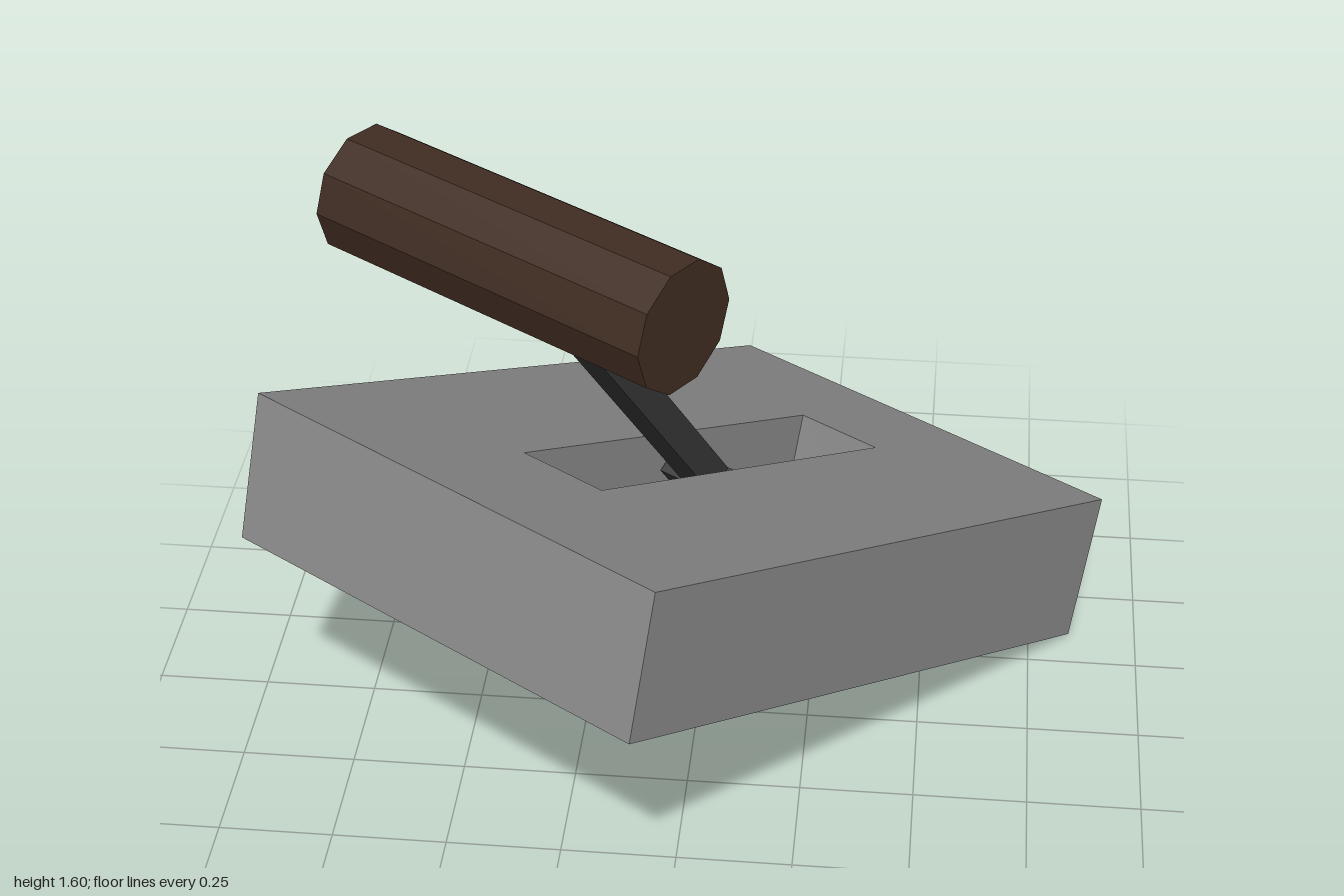
import * as THREE from 'three';

const stone = new THREE.MeshStandardMaterial({ color: 0x8a8a8a });
stone.name = 'grey stone';
const iron = new THREE.MeshStandardMaterial({ color: 0x363636 });
iron.name = 'dark iron';
const wood = new THREE.MeshStandardMaterial({ color: 0x402d22 });
wood.name = 'dark wood';

const V = (x, y, z) => new THREE.Vector3(x, y, z);

// Corners of the tilted base, in the order (u,v) = (0,0) (1,0) (1,1) (0,1)
const BOTTOM = [V(-0.9, 0.742, 0.43), V(-0.035, 0.737, 0.995), V(0.845, 0, -0.355), V(-0.02, 0.008, -0.92)];
const TOP = [V(-0.855, 1.055, 0.36), V(0.01, 1.05, 0.93), V(0.9, 0.342, -0.43), V(0.035, 0.347, -1)];

// Point inside the base from unit coordinates
function inBase(u, v, h) {
  const level = (c) => c[0].clone().lerp(c[1], u).lerp(c[3].clone().lerp(c[2], u), v);
  return level(BOTTOM).lerp(level(TOP), h);
}

// Bend a unit-space geometry into the skewed base
function fitToBase(geometry) {
  const g = geometry.index ? geometry.toNonIndexed() : geometry;
  const p = g.attributes.position;
  for (let i = 0; i < p.count; i++) {
    const q = inBase(p.getX(i), p.getY(i), p.getZ(i));
    p.setXYZ(i, q.x, q.y, q.z);
  }
  g.computeVertexNormals();
  return g;
}

function rectangle(PathType, u0, u1, v0, v1) {
  return new PathType([[u0, v0], [u1, v0], [u1, v1], [u0, v1]].map(([u, v]) => new THREE.Vector2(u, v)));
}

function addMesh(parent, name, geometry, material) {
  const mesh = new THREE.Mesh(geometry, material);
  mesh.name = name;
  parent.add(mesh);
  return mesh;
}

export function createModel() {
  const model = new THREE.Group();
  model.name = 'lever switch';

  // Base: solid lower half and slotted upper half
  const base = new THREE.Group();
  base.name = 'base';
  model.add(base);
  const slotFloor = 0.5;
  addMesh(base, 'lowerBase', fitToBase(new THREE.BoxGeometry(1, 1, slotFloor).translate(0.5, 0.5, slotFloor / 2)), stone);
  const outline = rectangle(THREE.Shape, 0, 1, 0, 1);
  outline.holes.push(rectangle(THREE.Path, 0.4, 0.6, 0.205, 0.795));
  const slotted = new THREE.ExtrudeGeometry(outline, { depth: 1 - slotFloor, bevelEnabled: false });
  addMesh(base, 'slottedTop', fitToBase(slotted.translate(0, 0, slotFloor)), stone);

  // Lever: local x across the slot, local y along the stem
  const pivot = V(0.024, 0.616, -0.0375);
  const grip = V(-0.298, 1.468, 0.456);
  const along = grip.clone().sub(pivot);
  const length = along.length();
  along.normalize();
  const across = V(0.835, 0, 0.55).normalize();
  const thick = across.clone().cross(along).normalize();
  across.crossVectors(along, thick);
  const lever = new THREE.Group();
  lever.name = 'lever';
  lever.quaternion.setFromRotationMatrix(new THREE.Matrix4().makeBasis(across, along, thick));
  lever.position.copy(pivot);
  model.add(lever);

  addMesh(lever, 'stem', new THREE.BoxGeometry(0.082, length, 0.068).translate(0, length / 2, 0), iron);
  addMesh(lever, 'pivotBar', new THREE.BoxGeometry(0.203, 0.068, 0.07), iron);

  // Ten-sided wooden grip
  const handle = new THREE.CylinderGeometry(0.133, 0.133, 0.807, 10).rotateZ(Math.PI / 2).toNonIndexed();
  handle.computeVertexNormals();
  addMesh(lever, 'handle', handle, wood).position.y = length;

  return model;
}
